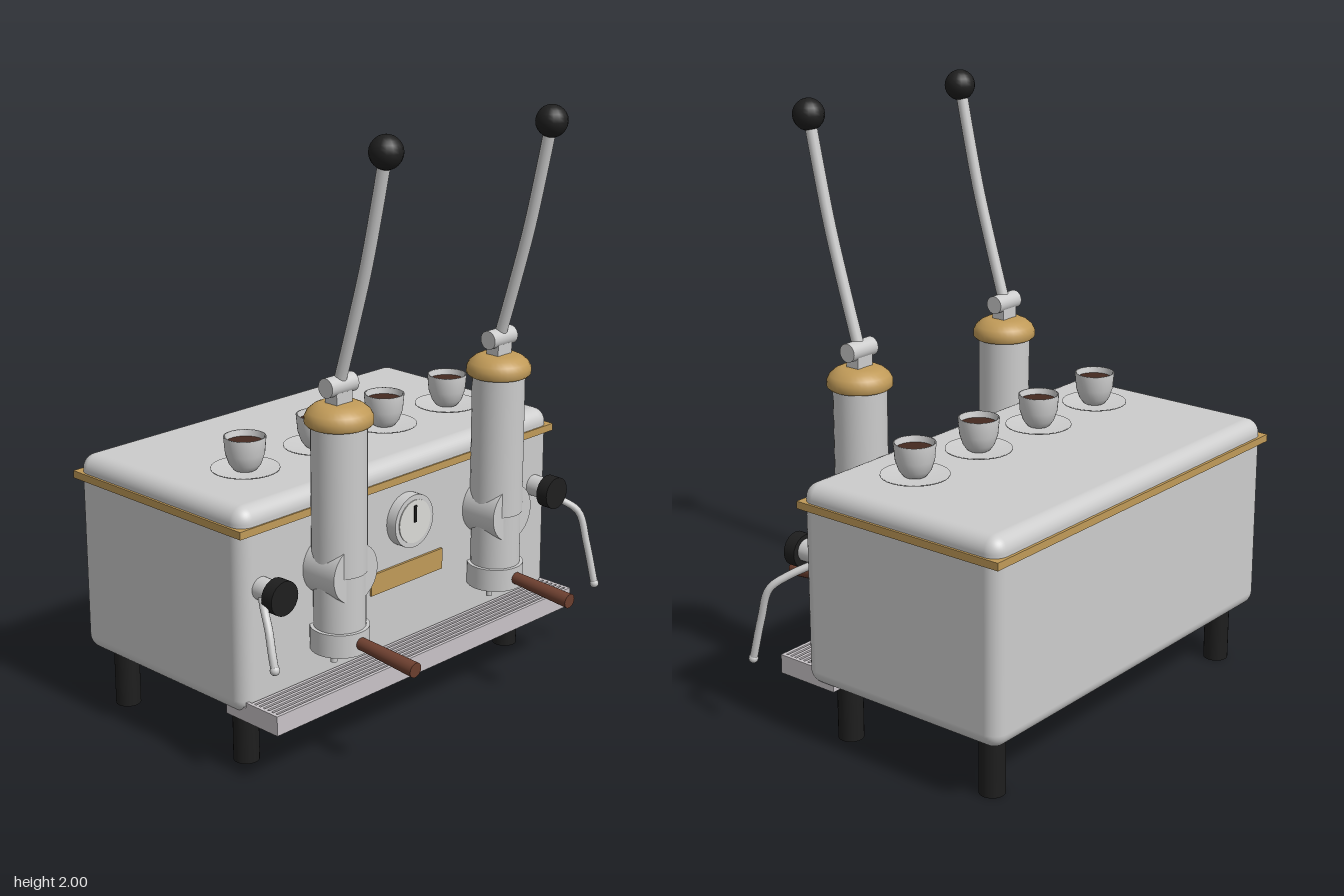
import * as THREE from 'three';
import { RoundedBoxGeometry } from 'three/addons/geometries/RoundedBoxGeometry.js';

const mat = (name, color, side = THREE.FrontSide) => {
  const m = new THREE.MeshStandardMaterial({ color, side });
  m.name = name;
  return m;
};

export function createModel() {
  const steel = mat('steel', 0xcccccc);
  const traySteel = mat('traySteel', 0xc8c3c7);
  const brass = mat('brass', 0xc09a58);
  const black = mat('black', 0x1e1e1e);
  const wood = mat('wood', 0x6e4030);
  const coffee = mat('coffee', 0x452a20);
  const china = mat('china', 0xcecece, THREE.DoubleSide);
  const dialFace = mat('dialFace', 0xdadad6);

  const model = new THREE.Group();
  model.name = 'espressoMachine';

  const add = (parent, name, geometry, material, x = 0, y = 0, z = 0) => {
    const mesh = new THREE.Mesh(geometry, material);
    mesh.name = name;
    mesh.position.set(x, y, z);
    parent.add(mesh);
    return mesh;
  };
  const box = (parent, name, material, x0, x1, y0, y1, z0, z1) =>
    add(parent, name, new THREE.BoxGeometry(x1 - x0, y1 - y0, z1 - z0), material,
      (x0 + x1) / 2, (y0 + y1) / 2, (z0 + z1) / 2);
  // Upright cylinder between two heights
  const post = (parent, name, material, r, y0, y1, x = 0, z = 0, seg = 32) =>
    add(parent, name, new THREE.CylinderGeometry(r, r, y1 - y0, seg), material, x, (y0 + y1) / 2, z);
  // Cylinder lying along x
  const rod = (parent, name, material, r, x0, x1, y, z, seg = 32) => {
    const mesh = add(parent, name, new THREE.CylinderGeometry(r, r, x1 - x0, seg), material, (x0 + x1) / 2, y, z);
    mesh.rotation.z = -Math.PI / 2;
    return mesh;
  };
  const tube = (parent, name, material, points, r) => add(parent, name,
    new THREE.TubeGeometry(new THREE.CatmullRomCurve3(points.map(p => new THREE.Vector3(...p))), 24, r, 12), material);
  const lathe = (parent, name, material, points, x = 0, y = 0, z = 0) => add(parent, name,
    new THREE.LatheGeometry(points.map(p => new THREE.Vector2(...p)), 32), material, x, y, z);

  // Boiler housing with brass trim band
  add(model, 'housing', new RoundedBoxGeometry(0.785, 0.68, 1.45, 5, 0.05), steel, -0.193, 0.54, 0.025);
  box(model, 'trimBand', brass, -0.595, 0.205, 0.795, 0.82, -0.708, 0.758);

  // Legs
  for (const x of [-0.485, 0.1])
    for (const z of [-0.597, 0.655]) post(model, 'leg', black, 0.042, 0, 0.215, x, z, 24);

  // Drip tray with rim and slats
  const tray = new THREE.Group();
  tray.name = 'dripTray';
  model.add(tray);
  box(tray, 'trayBase', traySteel, 0.1, 0.33, 0.185, 0.232, -0.675, 0.735);
  box(tray, 'trayFrontRim', traySteel, 0.318, 0.33, 0.232, 0.25, -0.675, 0.735);
  for (const z of [-0.675, 0.723]) box(tray, 'trayEndRim', traySteel, 0.19, 0.318, 0.232, 0.25, z, z + 0.012);
  for (let i = 0; i < 6; i++) {
    const x = 0.205 + i * 0.019;
    box(tray, 'traySlat', traySteel, x, x + 0.011, 0.232, 0.25, -0.663, 0.723);
  }

  // Pressure gauge and nameplate
  const gauge = new THREE.Group();
  gauge.name = 'gauge';
  model.add(gauge);
  rod(gauge, 'gaugeCase', steel, 0.09, 0.19, 0.238, 0.667, 0.03, 40);
  rod(gauge, 'gaugeFace', dialFace, 0.073, 0.236, 0.241, 0.667, 0.03, 40);
  box(gauge, 'gaugeNeedle', black, 0.24, 0.245, 0.665, 0.722, 0.025, 0.035);
  box(model, 'nameplate', brass, 0.195, 0.208, 0.445, 0.517, -0.14, 0.198);

  // Lever groups
  for (const z of [0.4, -0.343]) {
    const g = new THREE.Group();
    g.name = 'leverGroup';
    g.position.set(0.265, 0, z);
    model.add(g);
    post(g, 'upperCylinder', steel, 0.088, 0.615, 1.095);
    post(g, 'lowerCylinder', steel, 0.083, 0.42, 0.62);
    rod(g, 'coupling', steel, 0.096, -0.08, 0.071, 0.62, 0);
    lathe(g, 'brassCap', brass, [[0, 1.09], [0.1, 1.09], [0.1, 1.09], [0.107, 1.097], [0.107, 1.118],
      [0.098, 1.135], [0.08, 1.15], [0.058, 1.16], [0, 1.162]]);
    box(g, 'pivotNeck', steel, -0.025, 0.025, 1.155, 1.2, -0.034, 0.034);
    const pivot = post(g, 'pivot', steel, 0.031, -0.057, 0.057, 0, 0, 24);
    pivot.position.y = 1.215;
    pivot.rotation.x = Math.PI / 2;
    tube(g, 'lever', steel, [[0, 1.215, 0], [0.06, 1.41, 0], [0.115, 1.6, 0], [0.16, 1.79, 0], [0.195, 1.95, 0]], 0.02);
    add(g, 'leverKnob', new THREE.SphereGeometry(0.052, 16, 12), black, 0.195, 1.948, 0);

    // Filter holder, handle and twin spouts
    post(g, 'filterHolder', steel, 0.095, 0.355, 0.432);
    const handle = add(g, 'filterHandle', new THREE.CylinderGeometry(0.025, 0.02, 0.25, 16), wood, 0.2, 0.386, 0);
    handle.rotation.z = -Math.PI / 2 - 0.07;
    for (const s of [-0.027, 0.027]) post(g, 'spout', steel, 0.011, 0.312, 0.36, 0, s, 12);
  }

  // Steam valves with wands
  const wands = [
    [0.672, [[0.21, 0.6, 0.68], [0.27, 0.58, 0.725], [0.31, 0.53, 0.745], [0.335, 0.47, 0.757], [0.352, 0.42, 0.762]]],
    [-0.617, [[0.2, 0.59, -0.64], [0.26, 0.553, -0.7], [0.305, 0.51, -0.741], [0.338, 0.4, -0.75], [0.372, 0.255, -0.758]]],
  ];
  for (const [z, path] of wands) {
    const valve = new THREE.Group();
    valve.name = 'steamValve';
    model.add(valve);
    rod(valve, 'valveStem', steel, 0.037, 0.19, 0.262, 0.615, z, 24);
    rod(valve, 'valveKnob', black, 0.056, 0.26, 0.304, 0.61, z, 20);
    tube(valve, 'steamWand', steel, path, 0.013);
    add(valve, 'wandTip', new THREE.SphereGeometry(0.016, 12, 8), steel, ...path[path.length - 1]);
  }

  // Cups on saucers
  for (const z of [-0.448, -0.135, 0.18, 0.495]) {
    const cup = new THREE.Group();
    cup.name = 'cupAndSaucer';
    cup.position.set(-0.057, 0.88, z);
    model.add(cup);
    lathe(cup, 'saucer', china, [[0, 0.004], [0.06, 0.004], [0.11, 0.014], [0.11, 0.018], [0.06, 0.01], [0, 0.01]]);
    lathe(cup, 'cup', china, [[0, 0.012], [0.038, 0.012], [0.052, 0.032], [0.063, 0.065], [0.068, 0.12],
      [0.062, 0.12], [0.058, 0.075], [0.045, 0.04], [0, 0.03]]);
    const drink = add(cup, 'coffee', new THREE.CircleGeometry(0.0605, 32), coffee, 0, 0.1, 0);
    drink.rotation.x = -Math.PI / 2;
  }

  return model;
}
